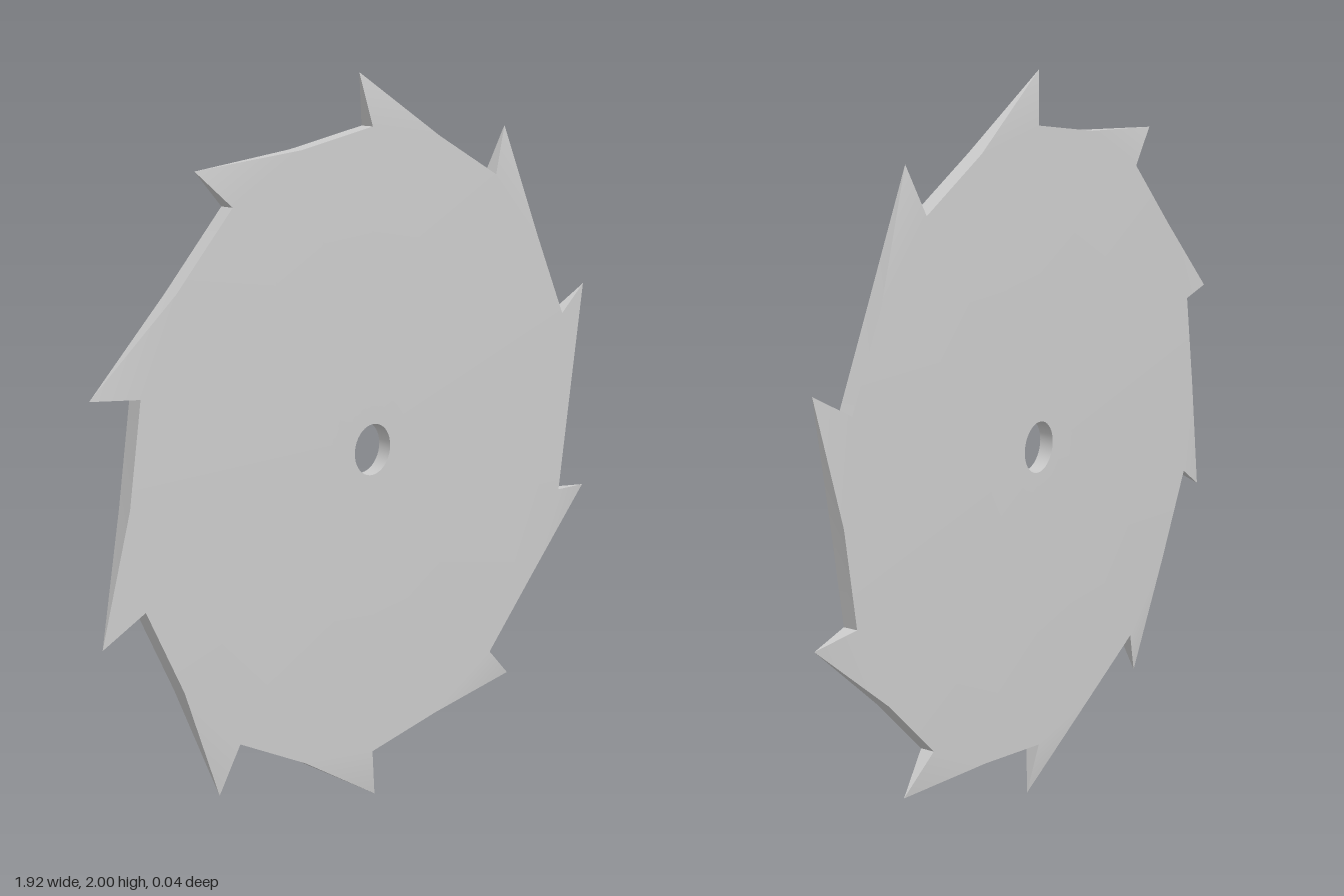
import * as THREE from 'three';
import { toCreasedNormals } from 'three/addons/utils/BufferGeometryUtils.js';

const TEETH = 10, RIM = 0.86, HOLE = 0.07, HALF = 0.02;

// Point at a clockwise angle from the top, around the blade's centre
const polar = (r, a, z) => [r * Math.sin(a), r * Math.cos(a), z];

export function createModel() {
  const positions = [];
  const tri = (a, b, c) => positions.push(...a, ...b, ...c);
  const quad = (a, b, c, d) => { tri(a, b, c); tri(a, c, d); };
  const step = Math.PI / TEETH;

  for (let i = 0; i < TEETH * 2; i++) {
    const a = i * step, b = a + step, m = a + step / 2;
    const isTooth = i % 2 === 0;
    const tip = polar(1, a - 0.03, 0);

    // Both flat sides of this sector, with the tooth tapering to a point
    for (const s of [1, -1]) {
      const face = (p, q, r) => (s > 0 ? tri(p, q, r) : tri(p, r, q));
      const z = s * HALF;
      const o0 = polar(RIM, a, z), o1 = polar(RIM, b, z);
      const h0 = polar(HOLE, a, z), hm = polar(HOLE, m, z), h1 = polar(HOLE, b, z);
      face(h0, hm, o0);
      face(hm, o1, o0);
      face(hm, h1, o1);
      if (isTooth) face(o0, o1, tip);
    }

    // Outer edge: tooth gullet and back, or the plain rim leading to the next tooth
    const f0 = polar(RIM, a, HALF), f1 = polar(RIM, b, HALF);
    const b0 = polar(RIM, a, -HALF), b1 = polar(RIM, b, -HALF);
    if (isTooth) {
      tri(f0, tip, b0);
      tri(tip, f1, b1);
    } else quad(f0, f1, b1, b0);

    // Wall of the arbor hole
    for (const [p, q] of [[a, m], [m, b]]) {
      quad(polar(HOLE, p, -HALF), polar(HOLE, q, -HALF), polar(HOLE, q, HALF), polar(HOLE, p, HALF));
    }
  }

  const geometry = new THREE.BufferGeometry();
  geometry.setAttribute('position', new THREE.Float32BufferAttribute(positions, 3));
  const blade = new THREE.Mesh(
    toCreasedNormals(geometry, Math.PI / 6),
    new THREE.MeshStandardMaterial({ color: 0xcccccc })
  );
  blade.name = 'sawBlade';
  blade.position.y = 1;

  const group = new THREE.Group();
  group.name = 'circularSawBlade';
  group.add(blade);
  return group;
}
